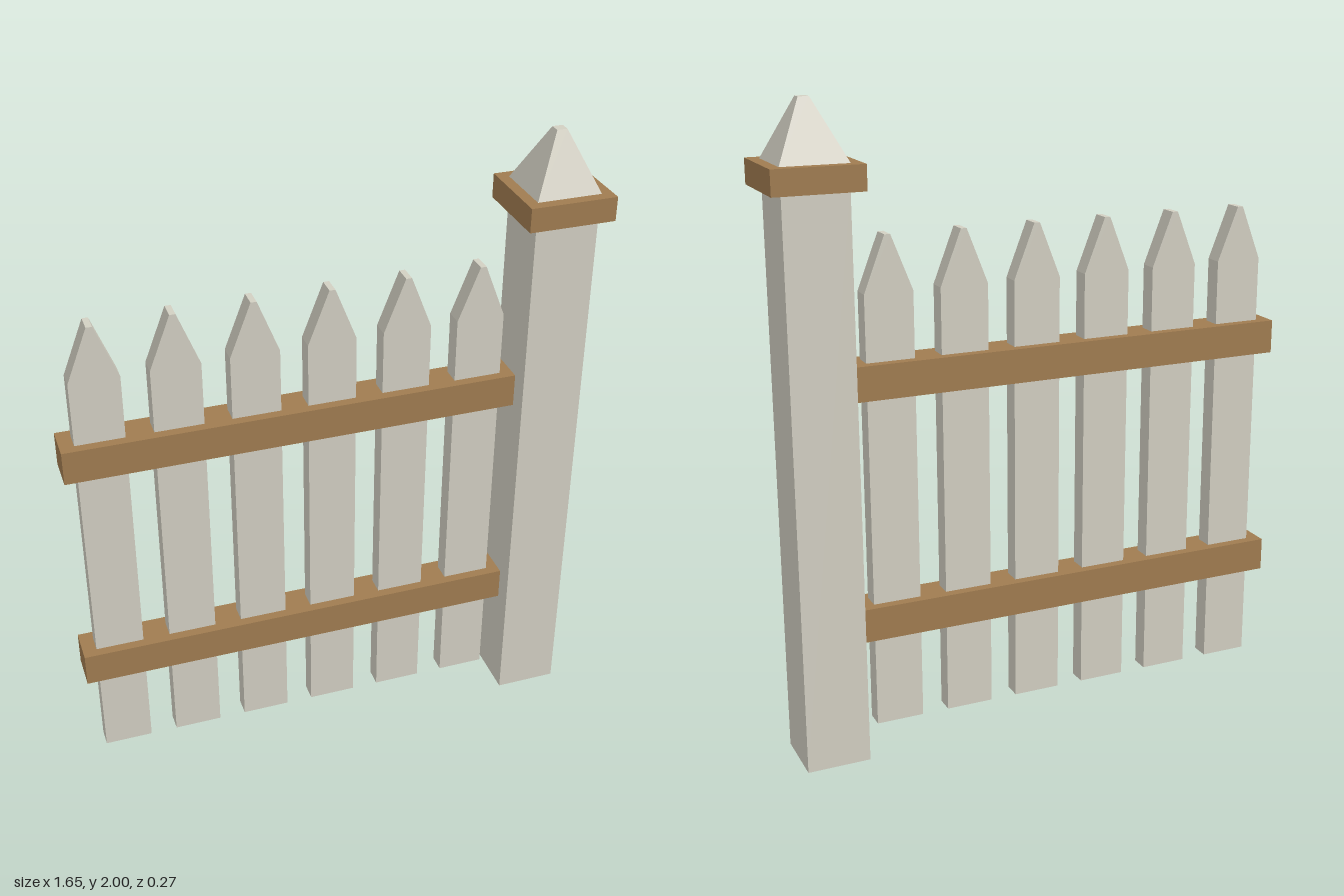
import * as THREE from 'three';

const paint = new THREE.MeshStandardMaterial({ color: 0xd2cfc2, flatShading: true });
const wood = new THREE.MeshStandardMaterial({ color: 0xa07c50, flatShading: true });

function add(parent, name, geometry, material, x, y, z = 0) {
  const mesh = new THREE.Mesh(geometry, material);
  mesh.name = name;
  mesh.position.set(x, y, z);
  parent.add(mesh);
  return mesh;
}

// Pointed board with a narrow blunt tip, standing on its own y = 0
function picketGeometry(width, shoulder, height, tip, depth) {
  const w = width / 2, t = tip / 2;
  const shape = new THREE.Shape([
    [-w, 0], [w, 0], [w, shoulder], [t, height], [-t, height], [-w, shoulder],
  ].map(([x, y]) => new THREE.Vector2(x, y)));
  return new THREE.ExtrudeGeometry(shape, { depth, bevelEnabled: false })
    .translate(0, 0, -depth / 2);
}

export function createModel() {
  const fence = new THREE.Group();
  fence.name = 'picketFence';

  // Row of pickets
  const pickets = new THREE.Group();
  pickets.name = 'pickets';
  fence.add(pickets);
  const picket = picketGeometry(0.15, 1.362, 1.531, 0.018, 0.058);
  for (let i = 0; i < 6; i++) {
    add(pickets, `picket${i + 1}`, picket, paint, -0.709 + i * 0.2344, 0.077);
  }

  // Two rails around the pickets
  const rail = new THREE.BoxGeometry(1.404, 0.106, 0.118);
  add(fence, 'lowerRail', rail, wood, -0.125, 0.426);
  add(fence, 'upperRail', rail, wood, -0.125, 1.183);

  // Gate post with a collar and a blunt pyramid finial
  const post = new THREE.Group();
  post.name = 'endPost';
  post.position.x = 0.687;
  fence.add(post);
  add(post, 'postShaft', new THREE.BoxGeometry(0.197, 1.76, 0.197), paint, 0, 0.88);
  add(post, 'postCollar', new THREE.BoxGeometry(0.27, 0.075, 0.27), wood, 0, 1.787);
  const finial = new THREE.CylinderGeometry(0.032 / Math.SQRT2, 0.202 / Math.SQRT2, 0.176, 4)
    .rotateY(Math.PI / 4);
  add(post, 'postFinial', finial, paint, 0, 1.912);

  return fence;
}
